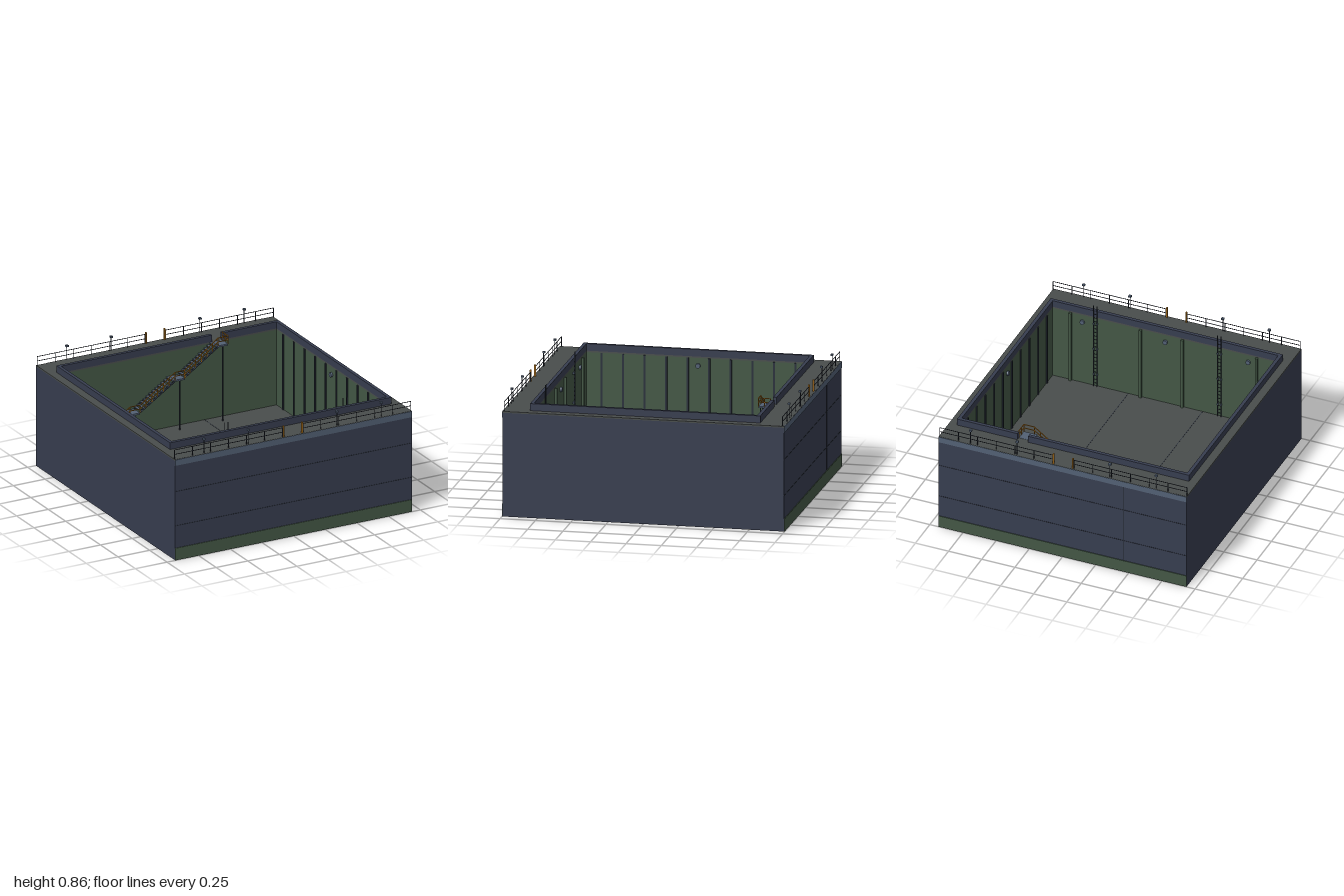
import * as THREE from 'three';

const mat = (name, color) => {
  const m = new THREE.MeshStandardMaterial({ color });
  m.name = name;
  return m;
};

export function createModel() {
  const navy = mat('navy wall', 0x373d4f);
  const slate = mat('slate metal', 0x526074);
  const green = mat('green lining', 0x435745);
  const grey = mat('grey deck', 0x494d4c);
  const dark = mat('dark metal', 0x292f3b);
  const orange = mat('orange safety paint', 0xb5761c);
  const root = new THREE.Group();
  const group = (name) => {
    const g = new THREE.Group();
    g.name = name;
    root.add(g);
    return g;
  };

  // Box given by its minimum and maximum on each axis
  const box = (parent, name, m, x0, x1, y0, y1, z0, z1) => {
    const mesh = new THREE.Mesh(new THREE.BoxGeometry(x1 - x0, y1 - y0, z1 - z0), m);
    mesh.position.set((x0 + x1) / 2, (y0 + y1) / 2, (z0 + z1) / 2);
    mesh.name = name;
    parent.add(mesh);
    return mesh;
  };
  // Square bar between two points
  const bar = (parent, name, m, a, b, t = 0.004, depth = t) => {
    const p = new THREE.Vector3(...a), q = new THREE.Vector3(...b);
    const mesh = new THREE.Mesh(new THREE.BoxGeometry(depth, t, p.distanceTo(q)), m);
    mesh.position.copy(p).lerp(q, 0.5);
    mesh.lookAt(q);
    mesh.name = name;
    parent.add(mesh);
  };

  const X = 0.935, IX = 0.85, IZ = 0.79, FLOOR = 0.18, DECK = 0.75;

  // Shell: foundation, walls, lining, floor and deck
  const shell = group('shell');
  box(shell, 'foundation', navy, -X, X, 0, 0.17, -0.995, 0.995);
  box(shell, 'floor', grey, -IX, IX, 0.17, FLOOR, -IZ, IZ);
  for (const s of [-1, 1]) {
    const spanX = (name, m, a, b, y0, y1, z) =>
      box(shell, name, m, Math.min(s * a, s * b), Math.max(s * a, s * b), y0, y1, -z, z);
    const spanZ = (name, m, a, b, y0, y1, x) =>
      box(shell, name, m, -x, x, y0, y1, Math.min(s * a, s * b), Math.max(s * a, s * b));
    spanX('sideWall', navy, IX + 0.005, X, 0.17, 0.74, 0.995);
    spanX('sideLining', green, IX, IX + 0.005, 0.17, 0.74, IZ + 0.005);
    spanX('sideDeck', grey, IX, X, 0.74, DECK, 0.995);
    spanZ('endWall', navy, IZ + 0.005, 0.995, 0.17, 0.74, IX + 0.005);
    spanZ('endLining', green, IZ, IZ + 0.005, 0.17, 0.74, IX);
    spanZ('endDeck', grey, IZ, 0.998, 0.74, DECK, IX);
    spanZ('basePlate', green, 0.995, 1, 0, 0.09, X);
    spanZ('topBand', slate, 0.995, 1, 0.705, DECK - 0.002, X);
    for (const y of [0.255, 0.51]) spanZ('wallJoint', dark, 0.994, 0.997, y - 0.002, y + 0.002, X);
  }
  box(shell, 'verticalJoint', dark, -0.463, -0.457, 0.09, 0.705, -0.998, -0.994);

  // Floor joints
  box(shell, 'floorJoint', dark, -IX, IX, FLOOR, FLOOR + 0.001, -0.002, 0.002);
  for (const x of [-0.28, 0.28]) box(shell, 'floorJoint', dark, x - 0.002, x + 0.002, FLOOR, FLOOR + 0.001, -IZ, IZ);

  // Raised rim, open at the top of the stairs
  const rim = group('rim');
  box(rim, 'rimFront', navy, -0.875, 0.875, DECK, 0.8, IZ, 0.815);
  box(rim, 'rimBack', navy, -0.875, 0.34, DECK, 0.8, -0.815, -IZ);
  box(rim, 'rimBack', navy, 0.42, 0.875, DECK, 0.8, -0.815, -IZ);
  box(rim, 'rimLeft', navy, IX, 0.875, DECK, 0.8, -IZ, IZ);
  box(rim, 'rimRight', navy, -0.875, -IX, DECK, 0.8, -IZ, IZ);

  // Wall ribs and pilasters
  const ribs = group('wallRibs');
  for (let i = 0; i < 10; i++) {
    const z = -0.69 + i * 0.1525;
    for (const s of [-1, 1])
      box(ribs, 'rib', dark, s * (IX - 0.003) - 0.004, s * (IX - 0.003) + 0.004, FLOOR, 0.74, z - 0.007, z + 0.007);
  }
  for (const x of [-0.69, -0.13, 0.185, 0.715])
    box(ribs, 'pilaster', green, x - 0.009, x + 0.009, FLOOR, 0.74, IZ - 0.018, IZ);

  // Round wall lamps
  const lamps = group('wallLamps');
  const lamp = (x, z, alongX) => {
    const m = new THREE.Mesh(new THREE.CylinderGeometry(0.017, 0.017, 0.014, 16), slate);
    m.rotation.set(alongX ? 0 : Math.PI / 2, 0, alongX ? Math.PI / 2 : 0);
    m.position.set(x, 0.685, z);
    m.name = 'wallLamp';
    lamps.add(m);
  };
  for (const x of [-0.625, 0, 0.625]) lamp(x, IZ - 0.007, false);
  for (const s of [-1, 1]) lamp(s * (IX - 0.007), 0, true);

  // Ladders on the front inner wall
  for (const x of [-0.41, 0.525]) {
    const ladder = group('ladder');
    for (const s of [-1, 1]) {
      const rx = x + s * 0.013;
      bar(ladder, 'ladderRail', dark, [rx, FLOOR, 0.778], [rx, 0.85, 0.778]);
      for (const y of [0.28, 0.49, 0.7]) box(ladder, 'ladderBracket', slate, rx - 0.005, rx + 0.005, y - 0.005, y + 0.005, 0.775, IZ);
    }
    for (let y = 0.21; y < 0.8; y += 0.03)
      bar(ladder, 'ladderRung', dark, [x - 0.013, y, 0.778], [x + 0.013, y, 0.778], 0.003);
  }

  // Staircase: three flights with landings
  const stairs = group('staircase');
  const Z0 = -0.788, Z1 = -0.703, RAIL = 0.058, STEPS = 12;
  const handrail = (a, b, n) => {
    for (const h of [RAIL / 2, RAIL])
      bar(stairs, 'handrail', orange, [a[0], a[1] + h, a[2]], [b[0], b[1] + h, b[2]], 0.005);
    for (let i = 0; i <= n; i++) {
      const p = a.map((v, k) => v + (b[k] - v) * i / n);
      bar(stairs, 'handrailPost', orange, p, [p[0], p[1] + RAIL, p[2]], 0.005);
    }
  };
  const flights = [[-0.63, -0.355, 0.18], [-0.275, 0, 0.37], [0.075, 0.34, 0.56]];
  for (const [x0, x1, y0] of flights) {
    const y1 = y0 + 0.19, end = x1 + 0.08;
    for (const z of [Z0 + 0.003, Z1 - 0.003])
      bar(stairs, 'stringer', dark, [x0, y0 + 0.004, z], [x1, y1 - 0.008, z], 0.014, 0.005);
    for (let i = 0; i < STEPS; i++) {
      const dx = (x1 - x0) / STEPS, x = x0 + i * dx, y = y0 + (i + 1) * 0.19 / STEPS;
      box(stairs, 'tread', slate, x, x + dx - 0.002, y - 0.005, y, Z0, Z1);
    }
    box(stairs, 'landing', slate, x1, end, y1 - 0.012, y1, Z0, Z1);
    bar(stairs, 'landingPost', dark, [(x1 + end) / 2, FLOOR, Z1 - 0.006], [(x1 + end) / 2, y1 - 0.012, Z1 - 0.006], 0.007);
    handrail([x0, y0, Z1], [x1, y1, Z1], 6);
    handrail([x1, y1, Z1], [end, y1, Z1], 1);
  }
  handrail([0.42, DECK, Z1], [0.42, DECK, Z0], 2);

  // Deck railings with a gate gap in the middle, and floodlights
  for (const sz of [-1, 1]) {
    const railing = group(sz > 0 ? 'frontRailing' : 'backRailing');
    const z = sz * 0.985;
    for (const s of [-1, 1]) {
      for (const y of [0.785, 0.818]) bar(railing, 'rail', dark, [s * 0.08, y, z], [s * 0.933, y, z], 0.0035);
      for (let i = 0; i <= 6; i++) {
        const x = s * (0.08 + i * 0.142);
        bar(railing, 'railPost', dark, [x, DECK, z], [x, 0.818, z], 0.0045);
      }
      box(railing, 'gatePost', orange, s * 0.073 - 0.004, s * 0.073 + 0.004, DECK, 0.832, z - 0.006, z + 0.006);
      for (const lx of [0.35, 0.7]) {
        bar(railing, 'floodlightPole', dark, [s * lx, DECK, z], [s * lx, 0.85, z], 0.004);
        box(railing, 'floodlightHead', slate, s * lx - 0.01, s * lx + 0.01, 0.848, 0.86, z - sz * 0.004 - 0.009, z - sz * 0.004 + 0.009);
      }
    }
  }
  return root;
}
